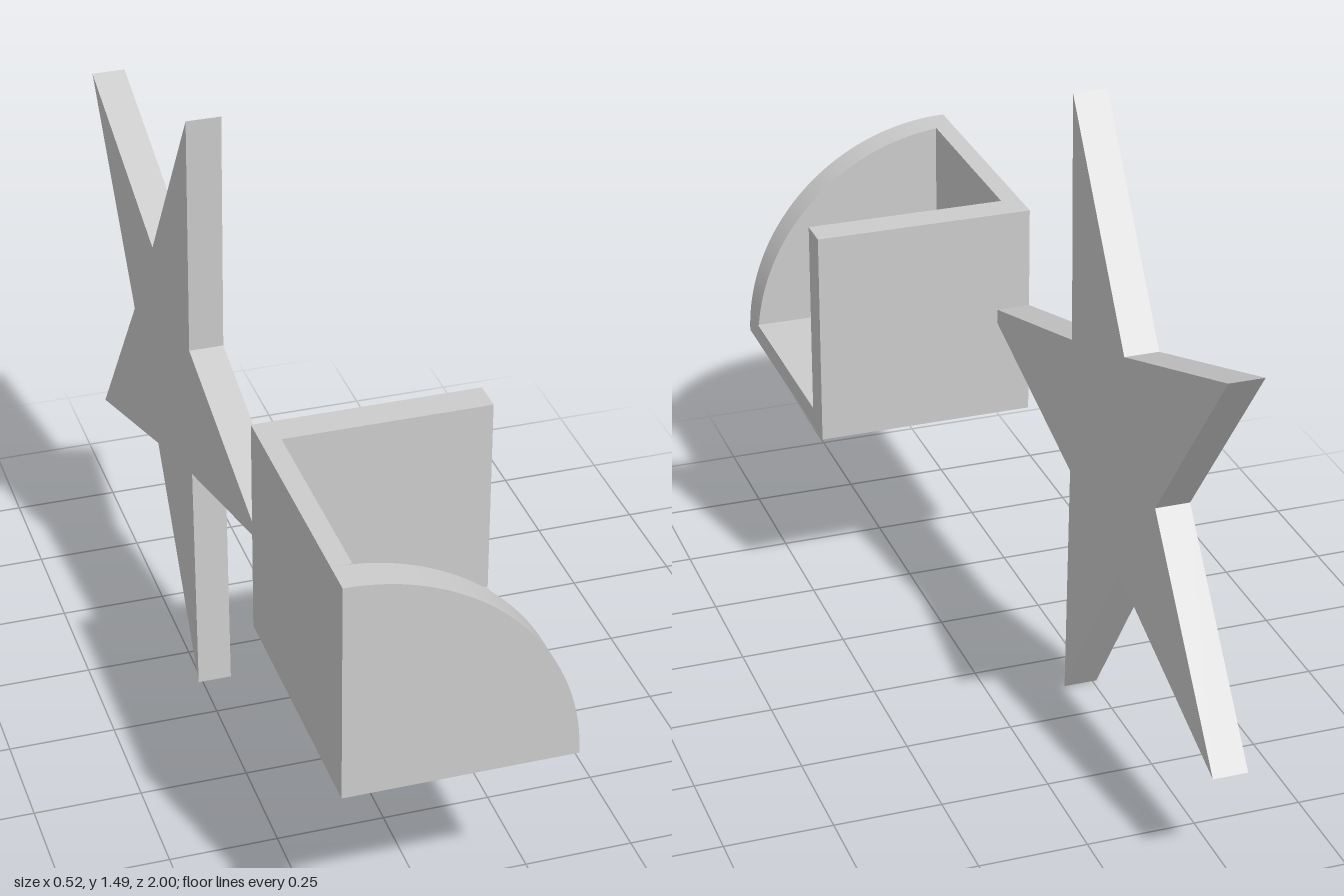
import * as THREE from 'three';

export function createModel() {
  const model = new THREE.Group();
  const material = new THREE.MeshStandardMaterial({ color: 0xcccccc });
  const add = (name, geometry) => {
    const mesh = new THREE.Mesh(geometry, material);
    mesh.name = name;
    model.add(mesh);
  };

  // Box given by its two opposite corners
  const box = (name, [x0, y0, z0], [x1, y1, z1]) => {
    const g = new THREE.BoxGeometry(x1 - x0, y1 - y0, z1 - z0);
    g.translate((x0 + x1) / 2, (y0 + y1) / 2, (z0 + z1) / 2);
    add(name, g);
  };

  // Holder outline: open at the top and on the +x side
  const left = -0.26, right = 0.258, bottom = 0.49, top = 1.008;
  const back = 0.36, front = 1, backInner = 0.435, frontInner = 0.922;
  const sideInner = -0.215, floorTop = 0.538;

  box('backWall', [left, bottom, back], [right, top, backInner]);
  box('sideWall', [left, bottom, backInner], [sideInner, top, frontInner]);
  box('floor', [sideInner, bottom, backInner], [right, floorTop, frontInner]);

  // Quarter-disc front wall
  const quarter = new THREE.Shape();
  quarter.moveTo(left, bottom);
  quarter.lineTo(right, bottom);
  quarter.absarc(left, bottom, right - left, 0, Math.PI / 2, false);
  quarter.closePath();
  const frontWall = new THREE.ExtrudeGeometry(quarter, {
    depth: front - frontInner, bevelEnabled: false, curveSegments: 48,
  });
  frontWall.translate(0, 0, frontInner);
  add('frontWall', frontWall);

  // Five-pointed star plate, one tip running into the back wall
  const points = [];
  for (let i = 0; i < 10; i++) {
    const r = i % 2 ? 0.28 : 0.784;
    const a = Math.PI + (i * Math.PI) / 5;
    points.push(new THREE.Vector2(r * Math.cos(a), r * Math.sin(a)));
  }
  const star = new THREE.ExtrudeGeometry(new THREE.Shape(points), {
    depth: 0.08, bevelEnabled: false,
  });
  star.rotateY(Math.PI / 2);
  star.translate(left, 0.746, -0.366);
  add('star', star);

  return model;
}
